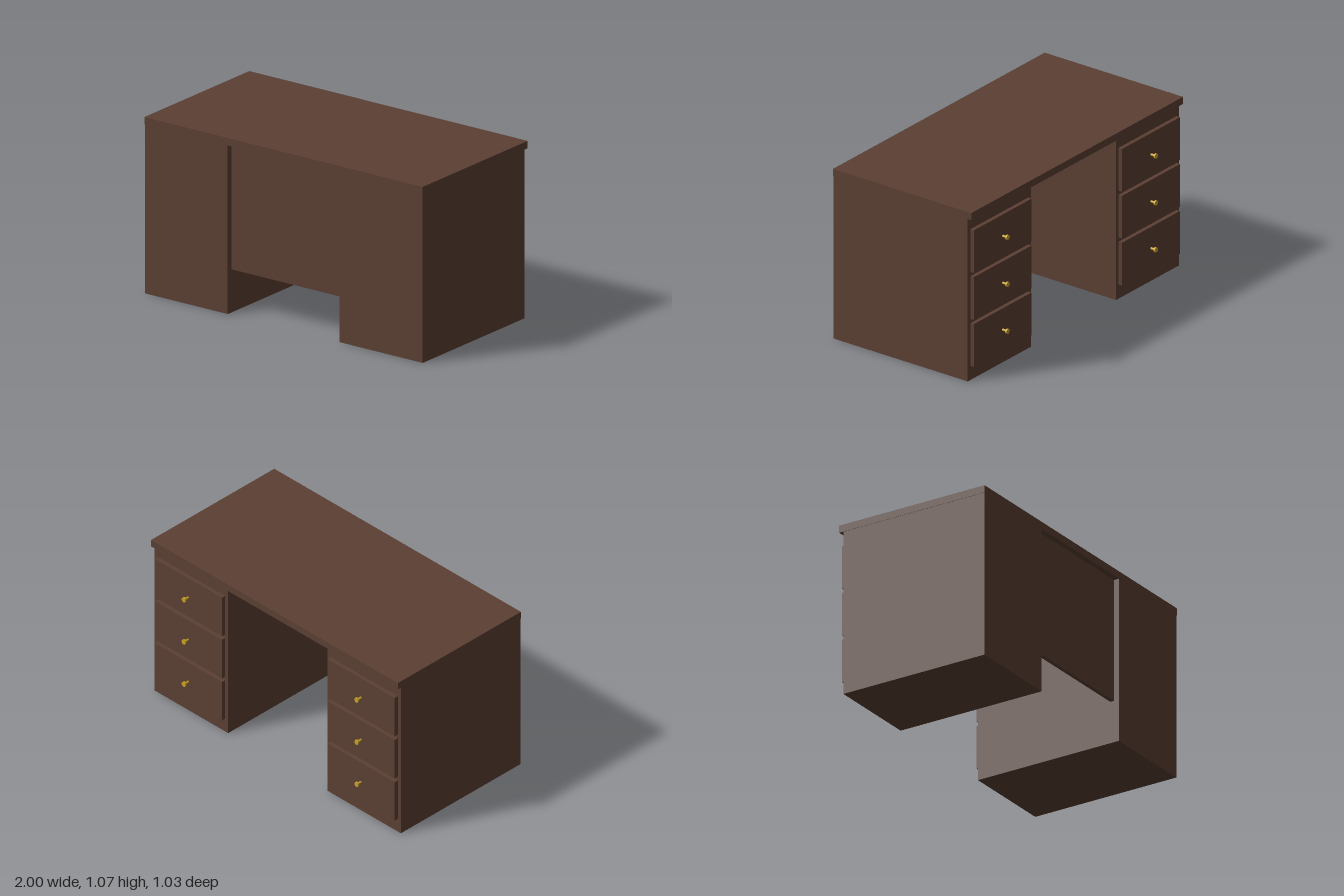
import * as THREE from 'three';

const wood = new THREE.MeshStandardMaterial({ color: 0x5c4033 });
const brass = new THREE.MeshStandardMaterial({ color: 0xc9a227 });

// Box given by its limits on each axis
function box(name, [x0, x1], [y0, y1], [z0, z1]) {
  const mesh = new THREE.Mesh(new THREE.BoxGeometry(x1 - x0, y1 - y0, z1 - z0), wood);
  mesh.name = name;
  mesh.position.set((x0 + x1) / 2, (y0 + y1) / 2, (z0 + z1) / 2);
  return mesh;
}

// Cylinder lying along z
function disc(name, radius, z0, z1) {
  const geometry = new THREE.CylinderGeometry(radius, radius, z1 - z0, 24).rotateX(Math.PI / 2);
  const mesh = new THREE.Mesh(geometry, brass);
  mesh.name = name;
  mesh.position.z = (z0 + z1) / 2;
  return mesh;
}

// Drawer front with its round knob, centred on its own x and y
function createDrawer() {
  const drawer = new THREE.Group();
  drawer.name = 'drawer';
  drawer.add(
    box('drawerFront', [-0.273, 0.273], [-0.135, 0.135], [-0.478, -0.453]),
    disc('knobStem', 0.007, -0.507, -0.477),
    disc('knobHead', 0.0155, -0.517, -0.506)
  );
  return drawer;
}

export function createModel() {
  const desk = new THREE.Group();
  desk.name = 'desk';

  desk.add(box('desktop', [-1, 1], [1.025, 1.07], [-0.48, 0.517]));
  desk.add(box('modestyPanel', [-0.403, 0.403], [0.262, 1.025], [0.455, 0.48]));

  // Matching pedestals, each with three drawers facing the sitter
  for (const side of [-1, 1]) {
    const pedestal = new THREE.Group();
    pedestal.name = side > 0 ? 'leftPedestal' : 'rightPedestal';
    pedestal.position.x = side * 0.7;
    pedestal.add(box('pedestalBody', [-0.298, 0.298], [0, 1.025], [-0.453, 0.515]));
    for (let i = 0; i < 3; i++) {
      const drawer = createDrawer();
      drawer.position.y = 0.224 + i * 0.296;
      pedestal.add(drawer);
    }
    desk.add(pedestal);
  }
  return desk;
}
